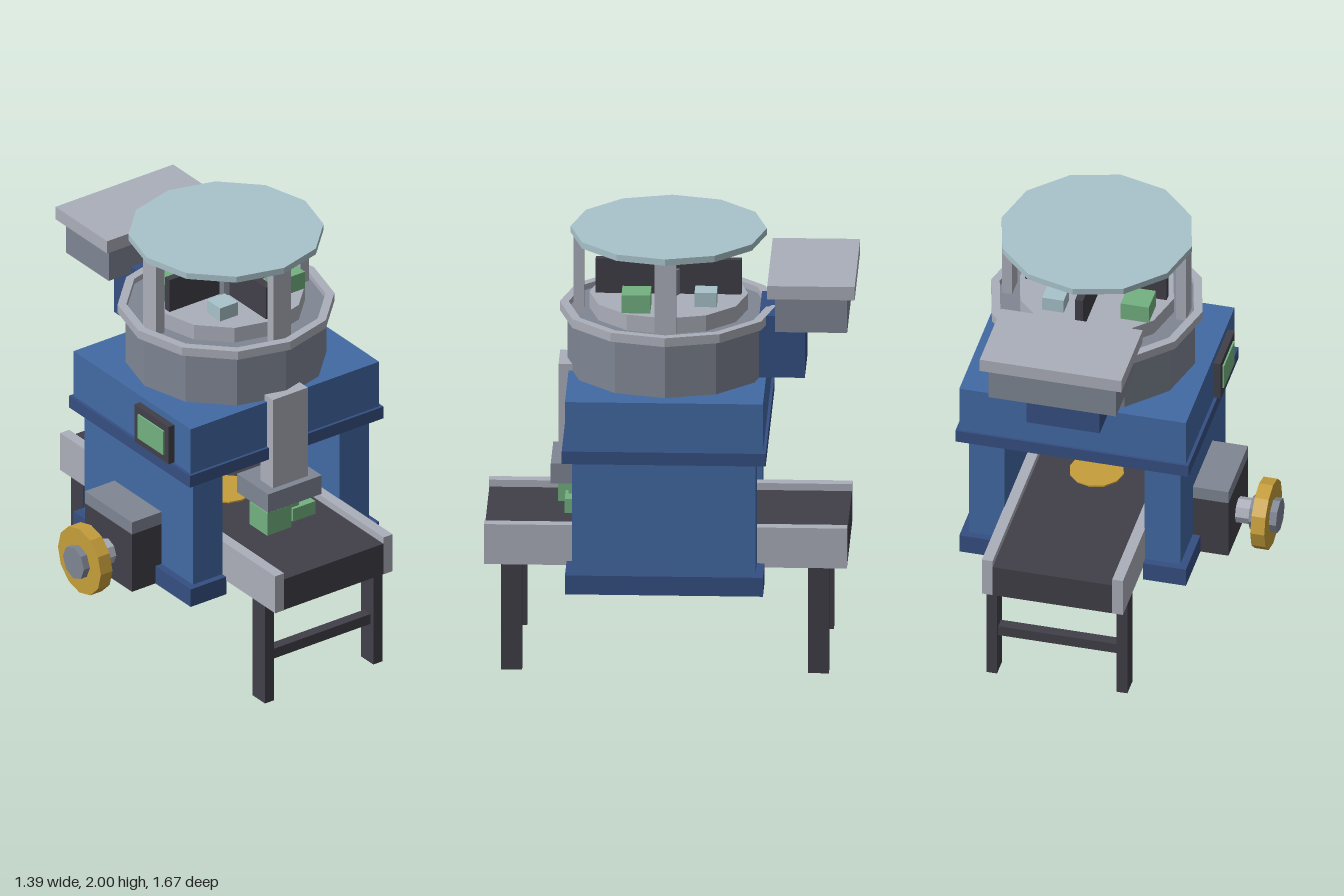
import * as THREE from 'three';

const mat = (name, color) => {
  const m = new THREE.MeshStandardMaterial({ color });
  m.name = name;
  m.flatShading = true;
  return m;
};

export function createModel() {
  const blue = mat('body blue', 0x426aa4);
  const navy = mat('trim navy', 0x354f82);
  const light = mat('light grey', 0xabafba);
  const grey = mat('mid grey', 0x7f8693);
  const dark = mat('charcoal', 0x413f48);
  const gold = mat('gold', 0xc69e3b);
  const green = mat('green', 0x73b180);
  const glass = mat('pale glass', 0xa8c2ca);

  const model = new THREE.Group();
  model.name = 'machine';
  const CX = 0.155, CZ = 0.013;

  const add = (name, geometry, material) => {
    const m = new THREE.Mesh(geometry, material);
    m.name = name;
    model.add(m);
    return m;
  };
  // box given by its extents on each axis
  const box = (name, material, [x0, x1], [y0, y1], [z0, z1]) =>
    add(name, new THREE.BoxGeometry(x1 - x0, y1 - y0, z1 - z0), material)
      .position.set((x0 + x1) / 2, (y0 + y1) / 2, (z0 + z1) / 2);
  // upright twelve-sided drum on the main axis
  const drum = (name, material, r, y0, y1, sides = 12) =>
    add(name, new THREE.CylinderGeometry(r, r, y1 - y0, sides), material)
      .position.set(CX, (y0 + y1) / 2, CZ);
  // cylinder lying along x
  const axle = (name, material, r, x0, x1, sides) => {
    const g = new THREE.CylinderGeometry(r, r, x1 - x0, sides).rotateZ(Math.PI / 2);
    add(name, g, material).position.set((x0 + x1) / 2, 0.5625, CZ);
  };
  const around = (c, h) => [c - h, c + h];

  // main housing
  box('housing', blue, [-0.37, 0.68], [1.115, 1.345], [-0.43, 0.46]);
  box('housingTrim', navy, [-0.385, 0.695], [1.055, 1.115], [-0.443, 0.474]);

  // side supports, conveyor rails and conveyor legs, mirrored about the centre line
  for (const s of [-1, 1]) {
    const span = (a, b) => (s > 0 ? [CX + a, CX + b] : [CX - b, CX - a]);
    box('sideSupport', blue, span(0.325, 0.49), [0.52, 1.055], [-0.395, 0.43]);
    box('supportFoot', navy, span(0.325, 0.525), [0.43, 0.52], [-0.43, 0.46]);
    box('conveyorRail', light, span(0.277, 0.327), [0.5, 0.69], [-0.8, 0.832]);
    for (const z of [0.707, -0.672])
      box('conveyorLeg', dark, span(0.277, 0.327), [0, 0.5], around(z, 0.047));
  }

  // conveyor
  box('conveyorBelt', dark, [-0.122, 0.432], [0.5, 0.657], [-0.8, 0.83]);
  for (const z of [0.707, -0.672])
    box('legCrossbar', dark, [-0.122, 0.432], [0.2, 0.25], around(z, 0.025));
  drum('beltDisc', gold, 0.125, 0.655, 0.664);

  // outlet chute and the pieces below it
  box('chute', light, [0.055, 0.25], [0.92, 1.375], [0.41, 0.505]);
  box('chuteNozzle', grey, [0.005, 0.303], [0.825, 0.92], [0.3, 0.538]);
  box('productPiece', green, [0.02, 0.155], [0.69, 0.805], [0.375, 0.51]);
  box('productPiece', green, [0.19, 0.315], [0.69, 0.755], [0.32, 0.475]);
  box('productPiece', green, [0.105, 0.235], [0.755, 0.83], [0.33, 0.46]);

  // drum with an open rim and raised deck
  drum('drum', grey, 0.455, 1.345, 1.615);
  const rim = [[0.45, 1.6], [0.49, 1.6], [0.49, 1.642], [0.45, 1.642], [0.45, 1.6]]
    .map(([x, y]) => new THREE.Vector2(x, y));
  add('drumRim', new THREE.LatheGeometry(rim, 12), light).position.set(CX, 0, CZ);
  drum('drumDeck', light, 0.357, 1.61, 1.69);

  // crossed dividers, hub and pieces in the four quadrants
  box('divider', dark, around(CX, 0.328), [1.69, 1.853], around(CZ, 0.018));
  box('divider', dark, around(CX, 0.018), [1.69, 1.853], around(CZ, 0.328));
  drum('dividerHub', grey, 0.058, 1.69, 1.81, 8);
  for (const s of [-1, 1]) {
    box('greenSample', green, around(CX + s * 0.227, 0.065), [1.69, 1.775], around(CZ + s * 0.137, 0.065));
    box('paleSample', glass, around(CX + s * 0.147, 0.05), [1.69, 1.757], around(CZ - s * 0.173, 0.05));
  }

  // canopy and its posts
  box('canopyPost', light, around(CX - 0.403, 0.023), [1.61, 1.972], around(CZ, 0.049));
  box('canopyPost', light, around(CX + 0.403, 0.023), [1.61, 1.972], around(CZ, 0.049));
  box('canopyPost', light, around(CX, 0.049), [1.61, 1.972], around(CZ + 0.403, 0.023));
  drum('canopy', glass, 0.441, 1.97, 2);

  // feed hopper at the back
  box('hopperBracket', navy, around(CX, 0.17), [1.35, 1.642], [-0.605, -0.4]);
  box('hopperBin', grey, around(CX, 0.295), [1.61, 1.777], [-0.8, -0.475]);
  box('hopperLid', light, around(CX, 0.328), [1.777, 1.84], [-0.835, -0.442]);

  // control panel
  box('controlPanel', dark, [-0.402, -0.37], [1.12, 1.312], [0.077, 0.337]);
  box('controlScreen', green, [-0.41, -0.402], [1.155, 1.277], [0.11, 0.305]);

  // motor and flywheel
  box('motor', dark, [-0.5, -0.335], [0.43, 0.725], [-0.165, 0.192]);
  box('motorCap', grey, [-0.5, -0.335], [0.725, 0.787], [-0.165, 0.192]);
  axle('shaft', light, 0.06, -0.57, -0.5, 8);
  axle('wheelHub', grey, 0.08, -0.695, -0.567, 8);
  axle('flywheel', gold, 0.163, -0.662, -0.597, 12);

  return model;
}
